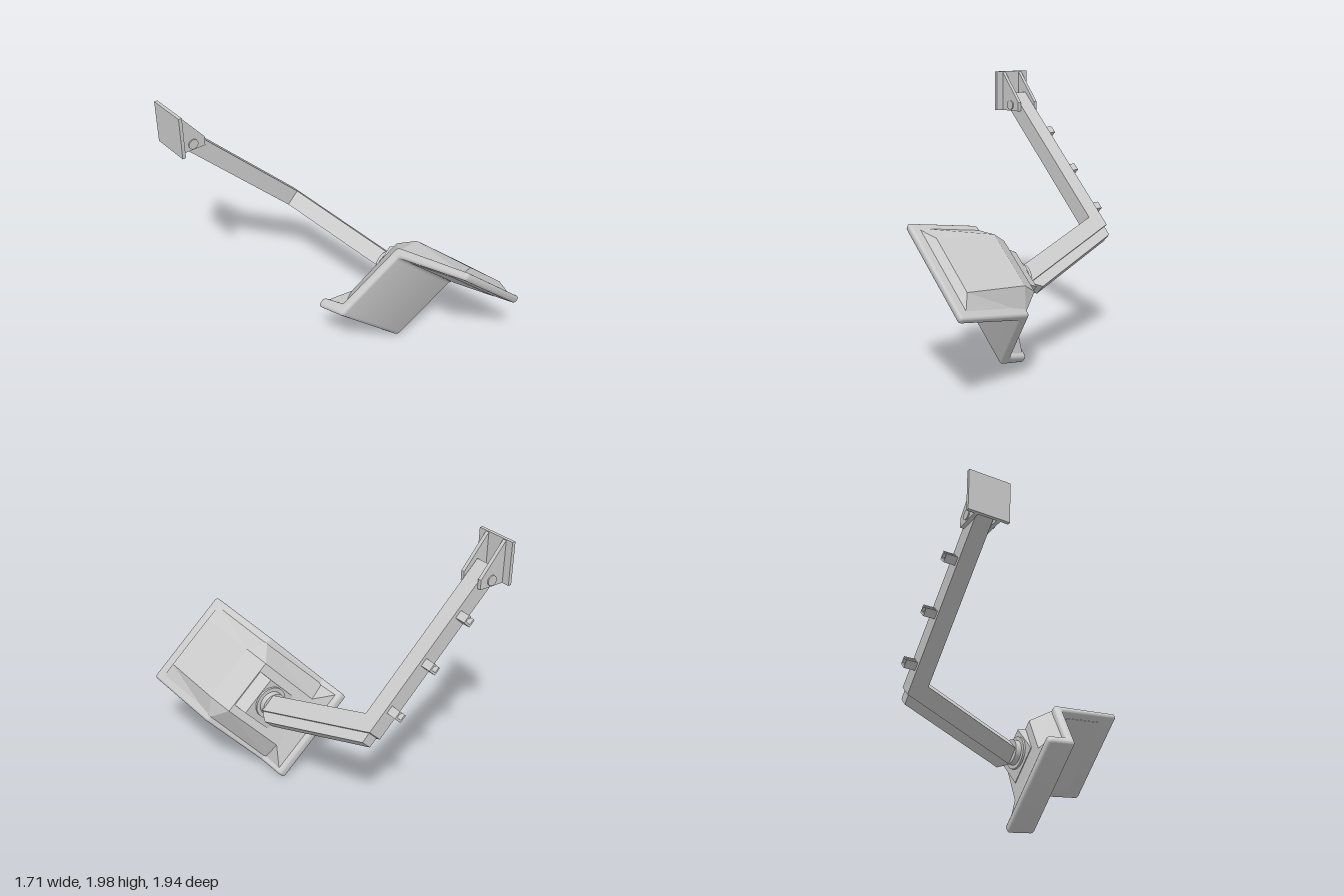
import * as THREE from 'three';
import { toCreasedNormals } from 'three/addons/utils/BufferGeometryUtils.js';

const grey = new THREE.MeshStandardMaterial({ color: 0xcccccc });
const greyOpen = new THREE.MeshStandardMaterial({ color: 0xcccccc, side: THREE.DoubleSide });

function add(parent, name, geometry, material = grey) {
  const mesh = new THREE.Mesh(geometry, material);
  mesh.name = name;
  parent.add(mesh);
  return mesh;
}

function polygon(points) {
  return new THREE.Shape(points.map(([x, y]) => new THREE.Vector2(x, y)));
}

// Polygon whose corners are rounded off by radius r
function roundedPolygon(points, r) {
  const shape = new THREE.Shape();
  const p = points.map(([x, y]) => new THREE.Vector2(x, y));
  p.forEach((c, i) => {
    const prev = p[(i + p.length - 1) % p.length], next = p[(i + 1) % p.length];
    const a = prev.clone().sub(c).setLength(r).add(c);
    const b = next.clone().sub(c).setLength(r).add(c);
    if (i === 0) shape.moveTo(a.x, a.y); else shape.lineTo(a.x, a.y);
    shape.quadraticCurveTo(c.x, c.y, b.x, b.y);
  });
  shape.closePath();
  return shape;
}

function extrude(shape, from, to) {
  const geo = new THREE.ExtrudeGeometry(shape, { depth: to - from, bevelEnabled: false });
  return geo.translate(0, 0, from);
}

// Group whose x axis slopes down to the right by the given angle
function slopedGroup(name, degrees) {
  const group = new THREE.Group();
  group.name = name;
  group.rotation.z = -THREE.MathUtils.degToRad(degrees);
  return group;
}

function wallBracket() {
  const group = new THREE.Group();
  group.name = 'wallBracket';
  add(group, 'wallPlate', new THREE.BoxGeometry(0.025, 0.31, 0.31)).position.set(-0.852, 1.845, -0.815);
  const cheek = polygon([[-0.845, 2], [-0.845, 1.69], [-0.645, 1.69], [-0.645, 1.76]]);
  for (const z of [-0.912, -0.748]) add(group, 'cheek', extrude(cheek, z, z + 0.028));
  const pin = new THREE.CylinderGeometry(0.037, 0.037, 0.21, 24).rotateX(Math.PI / 2);
  add(group, 'pivotPin', pin).position.set(-0.74, 1.735, -0.816);
  return group;
}

// Arm drawn in its own sloping plane: x along the upper arm, z forward
function arm() {
  const group = slopedGroup('arm', 44.6);
  const v = 0.716;
  const slab = (points, half) =>
    extrude(polygon(points), -half, half).rotateX(Math.PI / 2).translate(0, v, 0);

  add(group, 'bentArm', slab([[-1.72, -0.755], [-0.555, -0.755], [-0.255, 0.07],
    [-0.122, 0.07], [-0.468, -0.88], [-1.72, -0.88]], 0.0625));
  add(group, 'lowerRail', slab([[-0.475, -0.865], [-0.387, -0.865], [-0.073, -0.01],
    [-0.11, 0.06], [-0.16, 0.06]], 0.045));

  // Hollow upper end
  const square = (h) => [[-h, -h], [h, -h], [h, h], [-h, h]];
  const tube = polygon(square(0.0625));
  tube.holes.push(polygon(square(0.05)));
  add(group, 'hollowEnd', extrude(tube, -1.82, -1.72).rotateY(Math.PI / 2).translate(0, v, -0.8175));

  // Cable clips along the back
  const clip = polygon([[-0.03, -0.035], [0.03, -0.035], [0.03, 0.035], [-0.03, 0.035],
    [-0.03, 0.012], [-0.016, 0.012], [-0.016, 0.022], [0.014, 0.022],
    [0.014, -0.022], [-0.03, -0.022]]);
  for (const u of [-1.437, -1.05, -0.667]) {
    add(group, 'cableClip', extrude(clip, -0.963, -0.875)).position.set(u, v, 0);
  }
  return group;
}

function swivel() {
  const group = new THREE.Group();
  group.name = 'swivel';
  group.position.set(0.355, 0.645, 0);
  for (const [name, r, z, h] of [['swivelDrum', 0.093, 0.088, 0.056], ['swivelFlange', 0.122, 0.113, 0.018]]) {
    add(group, name, new THREE.CylinderGeometry(r, r, h, 40).rotateX(Math.PI / 2)).position.z = z;
  }
  return group;
}

// Faceted cover: rows of [height, depth] points lofted across the width
function housingGeometry() {
  const b = [[0.285, 0.05], [0.325, 0.2], [0.885, 0.36], [1.01, 0.91]];
  const p = [[0.42, 0.09], [0.9, 0.21], [1.0, 0.35], [1.06, 0.85]];
  const base = [b[0], b[0], b[1], b[2], b[2], b[3], b[3]];
  const crown = [b[0], p[0], p[0], p[1], p[2], p[3], b[3]];
  const rows = [[-0.505, base], [-0.37, crown], [0.062, crown], [0.195, base]];
  const position = [];
  const put = (i, j) => position.push(rows[i][0], ...rows[i][1][j]);
  for (let i = 0; i < rows.length - 1; i++) {
    for (let j = 0; j < base.length - 1; j++) {
      put(i, j); put(i, j + 1); put(i + 1, j);
      put(i + 1, j); put(i, j + 1); put(i + 1, j + 1);
    }
  }
  const geo = new THREE.BufferGeometry();
  geo.setAttribute('position', new THREE.Float32BufferAttribute(position, 3));
  geo.computeVertexNormals();
  return geo;
}

function lampHead() {
  const group = slopedGroup('lampHead', 42);
  const toSection = ([v, z]) => [-z, v];

  // Folded front shell with a soft rim
  const section = [[0.207, 0.02], [0.262, 0.255], [0.84, 0.405], [0.98, 0.972],
    [1.037, 0.972], [0.897, 0.348], [0.335, 0.2], [0.28, 0.02]].map(toSection);
  const r = 0.025, left = -0.541, right = 0.227;
  const shell = new THREE.ExtrudeGeometry(roundedPolygon(section, 0.026), {
    depth: right - left - 2 * r, curveSegments: 5,
    bevelSize: r, bevelThickness: r, bevelOffset: -r, bevelSegments: 5,
  });
  shell.translate(0, 0, left + r).rotateY(Math.PI / 2);
  add(group, 'foldedShell', toCreasedNormals(shell, 0.6));

  // Window on the upper wing
  const pane = add(group, 'window', new THREE.BoxGeometry(0.63, 0.008, 0.36));
  pane.position.set(-0.16, 0.9, 0.65);
  pane.rotation.x = -Math.atan2(0.14, 0.567);

  add(group, 'housing', housingGeometry(), greyOpen);

  // Wedge that carries the swivel
  const wedge = [[0.565, 0.12], [0.845, 0.12], [0.9, 0.22], [0.6, 0.2]].map(toSection);
  add(group, 'mountWedge', extrude(polygon(wedge), -0.3, 0).rotateY(Math.PI / 2));
  return group;
}

export function createModel() {
  const model = new THREE.Group();
  model.name = 'wallLamp';
  model.add(wallBracket(), arm(), swivel(), lampHead());
  return model;
}
